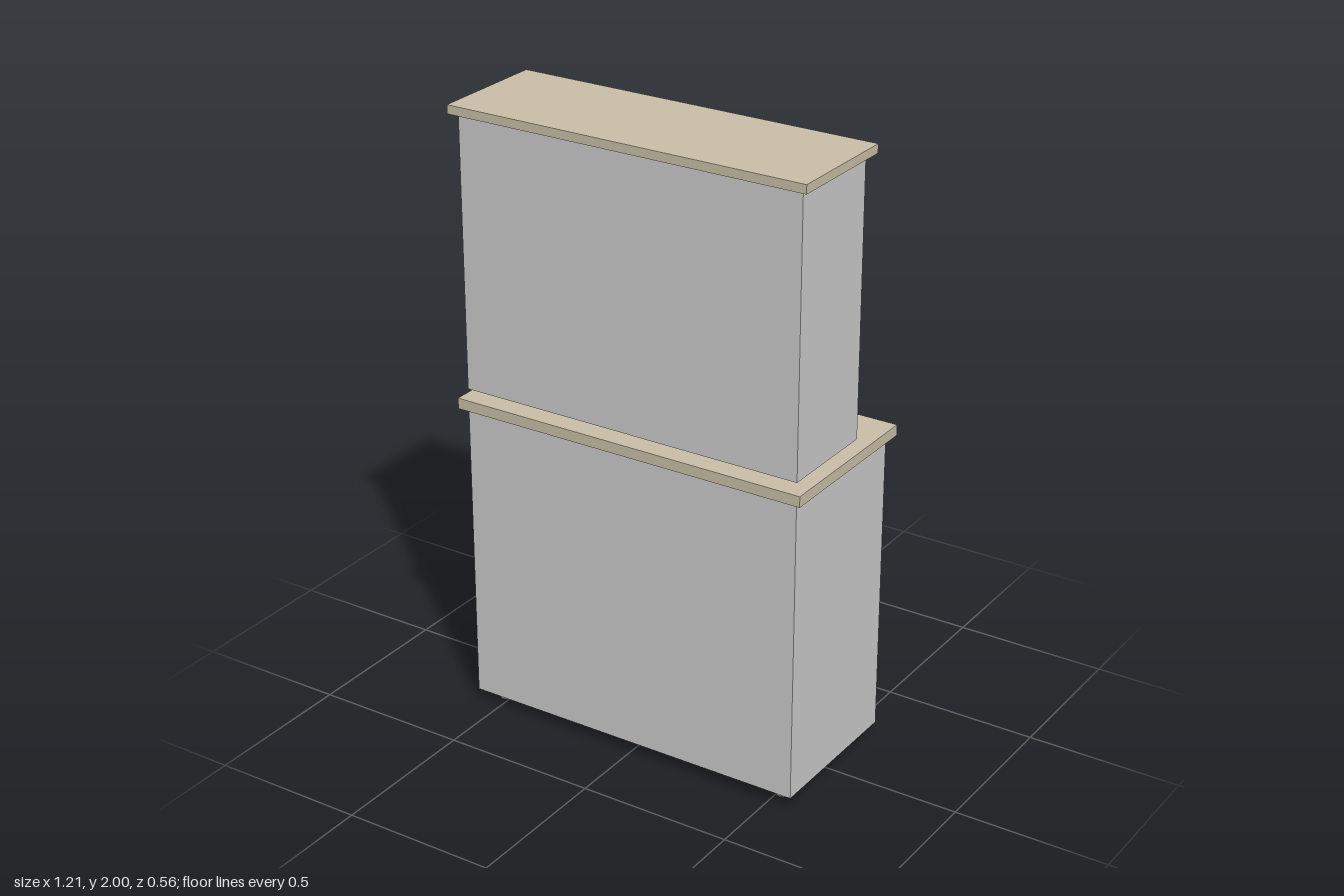
import * as THREE from 'three';

const grey = new THREE.MeshStandardMaterial({ color: 0xcccccc, flatShading: true });
const wood = new THREE.MeshStandardMaterial({ color: 0xcabfa8, flatShading: true });
const glass = new THREE.MeshStandardMaterial({ color: 0xbfd3dc, flatShading: true });

export function createModel() {
  const model = new THREE.Group();
  model.name = 'hutchCabinet';

  const add = (name, geometry, material, x = 0, y = 0, z = 0) => {
    const mesh = new THREE.Mesh(geometry, material);
    mesh.name = name;
    mesh.position.set(x, y, z);
    model.add(mesh);
  };

  // Box spanning the given half width, heights and depths
  const slab = (name, material, halfWidth, y0, y1, z0, z1) =>
    add(name, new THREE.BoxGeometry(2 * halfWidth, y1 - y0, z1 - z0), material,
      0, (y0 + y1) / 2, (z0 + z1) / 2);

  // Panel with chamfered edges, centred on its own origin
  const panel = (width, height, depth, bevel) => {
    const w = width / 2 - bevel, h = height / 2 - bevel;
    const shape = new THREE.Shape([[-w, -h], [w, -h], [w, h], [-w, h]]
      .map(([x, y]) => new THREE.Vector2(x, y)));
    return new THREE.ExtrudeGeometry(shape, {
      depth: depth - 2 * bevel, bevelEnabled: true, bevelSegments: 1,
      bevelSize: bevel, bevelThickness: bevel,
    }).center();
  };

  // Cabinet bodies with their overhanging tops, separated by narrow gaps
  slab('baseCabinet', grey, 0.58, 0.04, 1.024, -0.257, 0.26);
  slab('counterTop', wood, 0.603, 1.032, 1.067, -0.282, 0.282);
  slab('upperCabinet', grey, 0.58, 1.095, 1.963, -0.08, 0.26);
  slab('upperTop', wood, 0.603, 1.972, 2, -0.107, 0.282);

  // Doors and feet, mirrored left and right
  const foot = new THREE.LatheGeometry(
    [[0, 0], [0.022, 0], [0.031, 0.01], [0.031, 0.03], [0.022, 0.04], [0, 0.04]]
      .map(([r, y]) => new THREE.Vector2(r, y)), 8);
  const lowerDoor = panel(0.525, 0.705, 0.01, 0.003);
  const upperDoor = panel(0.515, 0.715, 0.024, 0.007);
  for (const [side, s] of [['left', 1], ['right', -1]]) {
    add(side + 'LowerDoor', lowerDoor, wood, s * 0.293, 0.553, -0.269);
    add(side + 'UpperDoor', upperDoor, glass, s * 0.294, 1.528, -0.093);
    add(side + 'FrontFoot', foot, wood, s * 0.516, 0, 0.196);
    add(side + 'BackFoot', foot, wood, s * 0.516, 0, -0.196);
  }

  return model;
}
